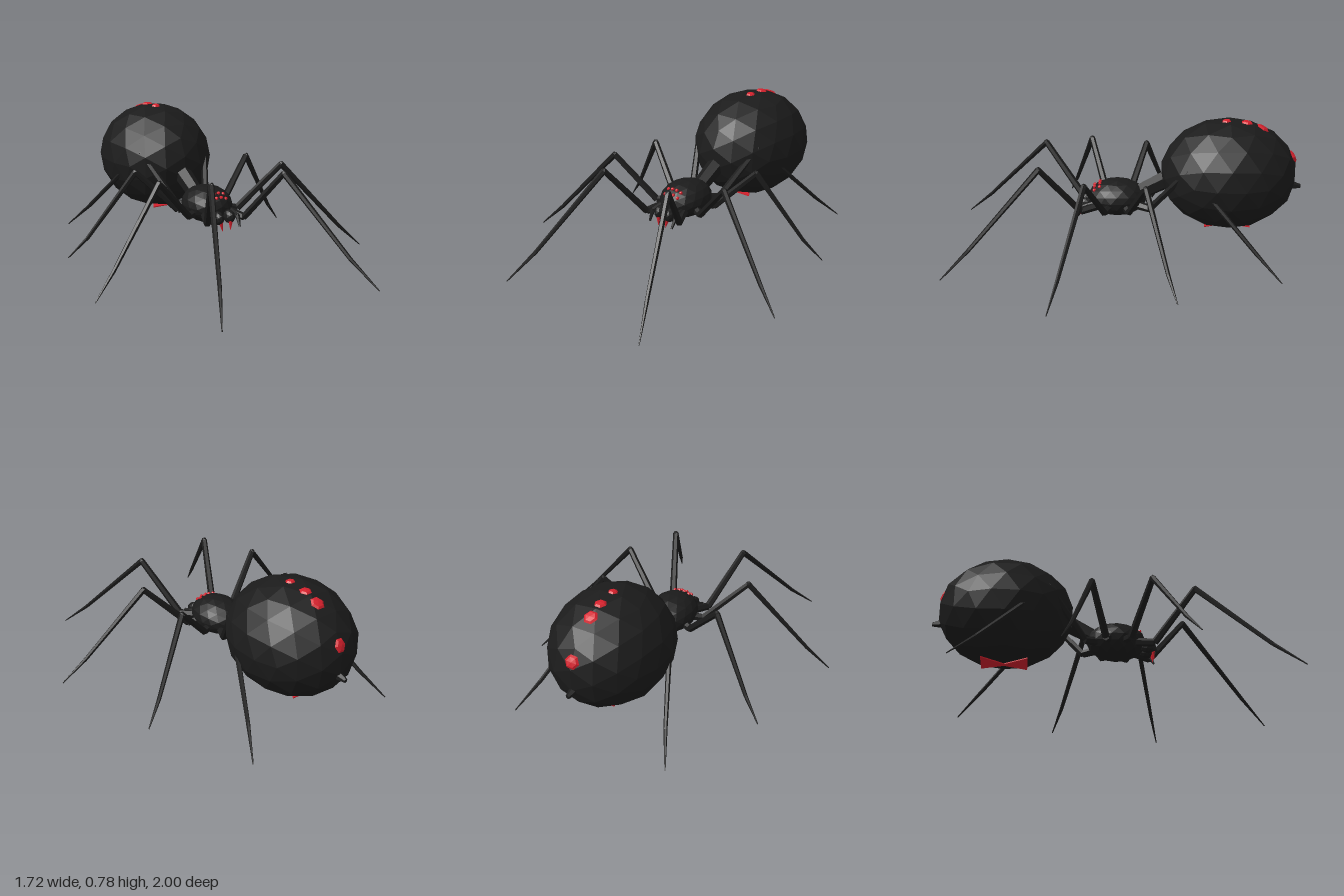
import * as THREE from 'three';

const black = new THREE.MeshStandardMaterial({ color: 0x1b1b1b });
black.name = 'black';
const red = new THREE.MeshStandardMaterial({ color: 0xd4202c });
red.name = 'red';
const V = (x, y, z) => new THREE.Vector3(x, y, z);
const UP = V(0, 1, 0);

// Faceted normals baked into the geometry
function faceted(geometry) {
  const flat = geometry.index ? geometry.toNonIndexed() : geometry;
  flat.computeVertexNormals();
  return flat;
}

function addMesh(parent, name, geometry, material) {
  const mesh = new THREE.Mesh(faceted(geometry), material);
  mesh.name = name;
  parent.add(mesh);
  return mesh;
}

function ellipsoid(parent, name, center, radii, detail, material = black) {
  const geometry = new THREE.IcosahedronGeometry(1, detail);
  geometry.scale(...radii).translate(...center.toArray());
  return addMesh(parent, name, geometry, material);
}

// Tapered rod from a to b
function rod(parent, name, a, b, ra, rb, sides = 6, material = black) {
  const dir = b.clone().sub(a);
  const mesh = addMesh(parent, name, new THREE.CylinderGeometry(rb, ra, dir.length(), sides), material);
  mesh.position.copy(a).add(b).multiplyScalar(0.5);
  mesh.quaternion.setFromUnitVectors(UP, dir.normalize());
  return mesh;
}

// Flattened bump laid on the surface hit by a ray
function spot(parent, name, target, from, dir, radius, height) {
  const hit = new THREE.Raycaster(from, dir).intersectObject(target)[0];
  const mesh = addMesh(parent, name, new THREE.SphereGeometry(1, 6, 4), red);
  mesh.scale.set(radius, height, radius);
  mesh.position.copy(hit.point);
  mesh.quaternion.setFromUnitVectors(UP, hit.face.normal);
}

export function createModel() {
  const spider = new THREE.Group();
  spider.name = 'spider';

  // Body
  const abdomen = ellipsoid(spider, 'abdomen', V(0, 0.457, -0.585), [0.325, 0.314, 0.387], 2);
  const head = ellipsoid(spider, 'headAndThorax', V(0, 0.305, 0.045), [0.137, 0.105, 0.17], 2);
  rod(spider, 'waist', V(0, 0.32, -0.06), V(0, 0.43, -0.27), 0.045, 0.055);
  rod(spider, 'spinneret', V(0, 0.39, -0.91), V(0, 0.378, -1), 0.035, 0.012);

  // Back markings
  const down = V(0, -1, 0);
  for (const [z, r] of [[-0.565, 0.027], [-0.68, 0.034], [-0.77, 0.04]])
    spot(spider, 'backSpot', abdomen, V(0, 2, z), down, r, 0.012);
  spot(spider, 'rearSpot', abdomen, V(0, 0.56, -2), V(0, 0, 1), 0.04, 0.014);

  // Belly hourglass: two thin triangular plates meeting at a narrow middle
  for (const s of [1, -1]) {
    const shape = new THREE.Shape([[-0.085, 0.13], [-0.012, 0], [0.012, 0], [0.085, 0.13]]
      .map(([x, y]) => new THREE.Vector2(x, y)));
    const geometry = new THREE.ExtrudeGeometry(shape, { depth: 0.006, bevelEnabled: false });
    geometry.rotateX(Math.PI / 2 - 0.07);
    if (s < 0) geometry.rotateY(Math.PI);
    addMesh(spider, 'hourglass', geometry, red).position.set(0, 0.15, -0.585);
  }

  // Two rows of four eyes
  for (const z of [0.145, 0.175])
    for (const x of [-0.045, -0.015, 0.015, 0.045])
      spot(spider, 'eye', head, V(x, 2, z), down, 0.011, 0.011);

  // Leg joints: hip, trochanter, knee, ankle, tip
  const legs = [
    [V(0.07, 0.28, 0.14), V(0.12, 0.26, 0.25), V(0.23, 0.55, 0.47), V(0.405, 0.145, 0.845), V(0.485, 0, 0.997)],
    [V(0.09, 0.28, 0.08), V(0.16, 0.27, 0.115), V(0.395, 0.52, 0.21), V(0.73, 0.13, 0.332), V(0.86, 0, 0.38)],
    [V(0.09, 0.28, 0.0), V(0.15, 0.27, -0.025), V(0.37, 0.5, -0.12), V(0.62, 0.12, -0.24), V(0.725, 0, -0.29)],
    [V(0.06, 0.28, -0.06), V(0.1, 0.27, -0.14), V(0.215, 0.54, -0.35), V(0.4, 0.14, -0.72), V(0.48, 0, -0.86)],
  ];
  const radii = [0.026, 0.021, 0.017, 0.011, 0.003];
  const names = ['hip', 'thigh', 'shin', 'foot'];

  for (const side of [1, -1]) {
    const flip = (p) => V(p.x * side, p.y, p.z);
    const prefix = side > 0 ? 'left' : 'right';
    legs.forEach((joints, n) => {
      const leg = new THREE.Group();
      leg.name = `${prefix}Leg${n + 1}`;
      spider.add(leg);
      names.forEach((name, i) =>
        rod(leg, name, flip(joints[i]), flip(joints[i + 1]), radii[i], radii[i + 1]));
      ellipsoid(leg, 'knee', flip(joints[2]), [0.018, 0.018, 0.018], 0);
    });

    // Jaws, fangs and feelers
    ellipsoid(spider, `${prefix}Jaw`, V(side * 0.036, 0.27, 0.225), [0.03, 0.04, 0.045], 1);
    rod(spider, `${prefix}Fang`, V(side * 0.032, 0.255, 0.25), V(side * 0.026, 0.2, 0.258), 0.014, 0.001, 5, red);
    rod(spider, `${prefix}Feeler`, V(side * 0.07, 0.29, 0.16), V(side * 0.085, 0.27, 0.24), 0.018, 0.014);
    rod(spider, `${prefix}FeelerTip`, V(side * 0.085, 0.275, 0.235), V(side * 0.08, 0.215, 0.27), 0.014, 0.006);
  }
  return spider;
}
